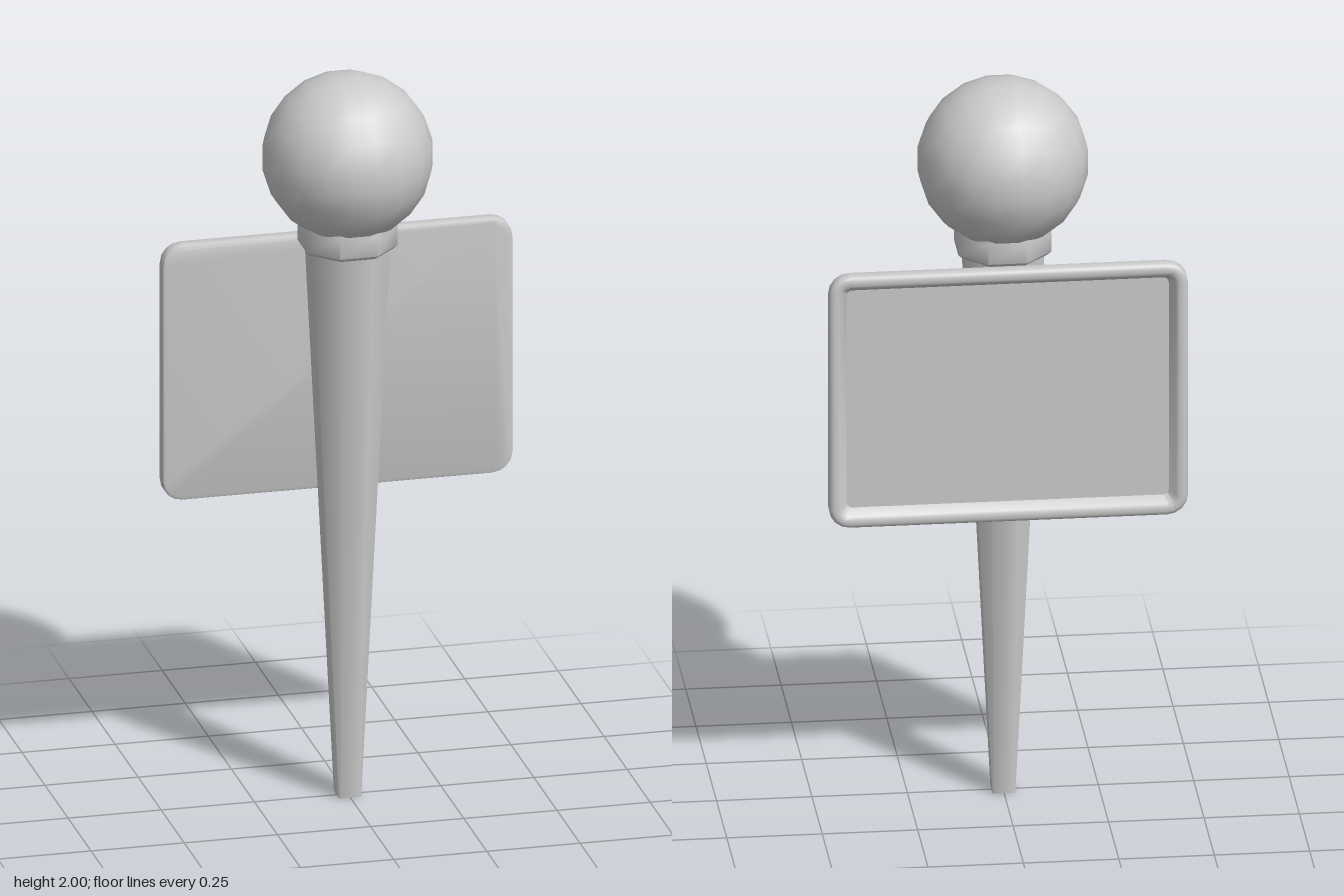
import * as THREE from 'three';
import { toCreasedNormals } from 'three/addons/utils/BufferGeometryUtils.js';

const material = new THREE.MeshStandardMaterial({ color: 0xcccccc });

// Skin closed rings of equal point count (counter-clockwise seen from the end), capping both ends.
function loft(rings, crease) {
  const n = rings[0].length, pos = rings.flat().flatMap(p => p.toArray()), index = [];
  for (let r = 0; r < rings.length - 1; r++) {
    for (let i = 0; i < n; i++) {
      const j = (i + 1) % n, a = r * n + i, b = r * n + j;
      index.push(a, b, b + n, a, b + n, a + n);
    }
  }
  const last = (rings.length - 1) * n;
  for (let i = 1; i < n - 1; i++) {
    index.push(0, i + 1, i, last, last + i, last + i + 1);
  }
  const geometry = new THREE.BufferGeometry();
  geometry.setAttribute('position', new THREE.Float32BufferAttribute(pos, 3));
  geometry.setIndex(index);
  return toCreasedNormals(geometry, crease);
}

// Square section with cut corners, at height y.
function cutSquare(half, cut, y) {
  const c = half - cut;
  return [[half, c], [half, -c], [c, -half], [-c, -half], [-half, -c], [-half, c], [-c, half], [c, half]]
    .map(([x, z]) => new THREE.Vector3(x, y, z));
}

// Rounded rectangle in the plate's plane, clockwise seen from the front.
function plateRing(inset, z) {
  const w = 0.47 - inset, h = 0.355 - inset, r = Math.max(0.055 - inset, 0.015), points = [];
  const corners = [[1, 1], [1, -1], [-1, -1], [-1, 1]];
  corners.forEach(([sx, sy], k) => {
    for (let i = 0; i <= 4; i++) {
      const a = Math.PI / 2 - (k + i / 4) * Math.PI / 2;
      points.push(new THREE.Vector3(sx * (w - r) + r * Math.cos(a), 1.17 + sy * (h - r) + r * Math.sin(a), z));
    }
  });
  return points;
}

// Ball made from a subdivided cube pushed out to a sphere.
function ballGeometry(radius) {
  const geometry = new THREE.BoxGeometry(2, 2, 2, 5, 5, 5);
  const p = geometry.attributes.position, v = new THREE.Vector3();
  const even = t => Math.tan(t * Math.PI / 4);
  for (let i = 0; i < p.count; i++) {
    v.set(even(p.getX(i)), even(p.getY(i)), even(p.getZ(i))).normalize();
    geometry.attributes.normal.setXYZ(i, v.x, v.y, v.z);
    p.setXYZ(i, v.x * radius, v.y * radius, v.z * radius);
  }
  return geometry;
}

export function createModel() {
  const group = new THREE.Group();
  const add = (name, geometry) => {
    const mesh = new THREE.Mesh(geometry, material);
    mesh.name = name;
    group.add(mesh);
    return mesh;
  };

  // Round knob on top
  add('knob', ballGeometry(0.225)).position.y = 1.7775;

  // Eight-sided collar with softened lower edge
  const oct = 2 - Math.SQRT2;
  add('collar', loft([[0.112, 1.525], [0.122, 1.535], [0.122, 1.59], [0.117, 1.62]]
    .map(([half, y]) => cutSquare(half, half * oct, y)), 0.9));

  // Tapered shaft: nearly square foot blending to an octagon
  add('shaft', loft([
    cutSquare(0.03, 0.003, 0),
    cutSquare(0.105, 0.105 * oct, 1.54),
  ], 0.9));

  // Flat plate behind the shaft, with a raised rim around its back
  add('plate', loft([
    [0.012, -0.103], [0.003, -0.106], [0, -0.113], [0, -0.138], [0.004, -0.145],
    [0.012, -0.148], [0.024, -0.148], [0.032, -0.144], [0.048, -0.117],
  ].map(([inset, z]) => plateRing(inset, z)), 0.8));

  return group;
}
